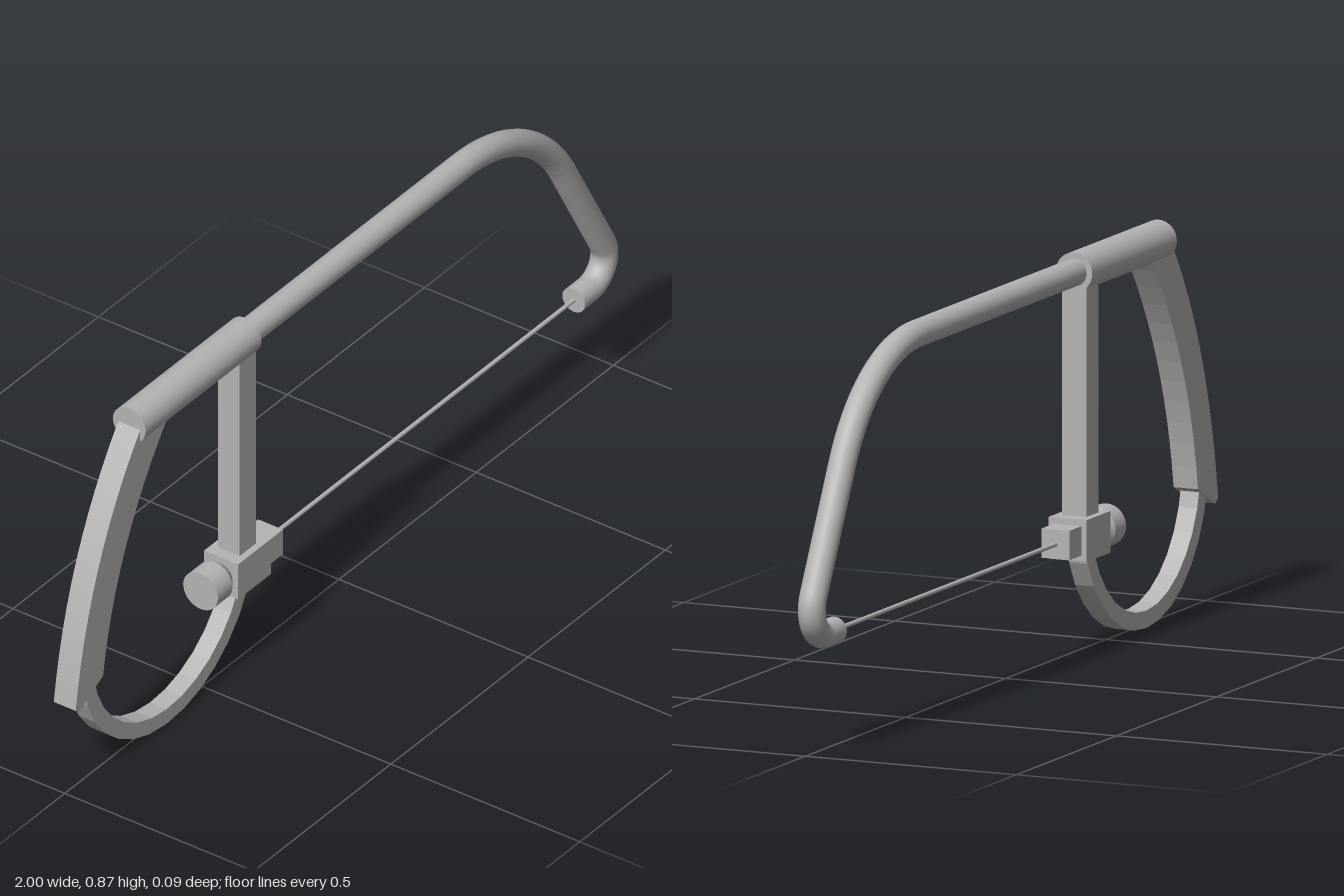
import * as THREE from 'three';

const steel = new THREE.MeshStandardMaterial({ color: 0xb4b4b4 });
steel.name = 'grey steel';

export function createModel() {
  const model = new THREE.Group();
  model.name = 'hacksaw';

  const add = (name, geometry, x = 0, y = 0, z = 0) => {
    const mesh = new THREE.Mesh(geometry, steel);
    mesh.name = name;
    mesh.position.set(x, y, z);
    model.add(mesh);
    return mesh;
  };
  // Box from its x and y limits, centred on z
  const box = (name, x0, x1, y0, y1, depth) =>
    add(name, new THREE.BoxGeometry(x1 - x0, y1 - y0, depth), (x0 + x1) / 2, (y0 + y1) / 2);
  // Cylinder along x
  const rod = (name, x0, x1, y, r0, r1 = r0, sides = 32) =>
    add(name, new THREE.CylinderGeometry(r1, r0, x1 - x0, sides).rotateZ(-Math.PI / 2), (x0 + x1) / 2, y);
  // Flat outline given thickness, centred on z
  const plate = (name, shape, depth, curveSegments) =>
    add(name, new THREE.ExtrudeGeometry(shape, { depth, bevelEnabled: false, curveSegments })
      .translate(0, 0, -depth / 2));

  const topY = 0.827, bladeY = 0.25, tubeR = 0.03;

  // Bent tubular frame: straight top, wide bend, slanted front, tight hook
  const path = [new THREE.Vector3(-0.5, topY, 0)];
  const bend = (cx, cy, r, from, to, steps) => {
    for (let i = 0; i <= steps; i++) {
      const a = THREE.MathUtils.degToRad(from + (to - from) * i / steps);
      path.push(new THREE.Vector3(cx + r * Math.cos(a), cy + r * Math.sin(a), 0));
    }
  };
  bend(0.445, topY - 0.42, 0.42, 90, 28.7, 16);
  bend(0.905, bladeY + 0.062, 0.062, 28.7, -90, 12);
  path.push(new THREE.Vector3(0.855, bladeY, 0));
  const curve = new THREE.CurvePath();
  for (let i = 1; i < path.length; i++) curve.add(new THREE.LineCurve3(path[i - 1], path[i]));
  add('frameTube', new THREE.TubeGeometry(curve, 200, tubeR, 24));
  const cap = add('frameTubeEnd', new THREE.CircleGeometry(tubeR, 24), 0.855, bladeY);
  cap.rotation.y = -Math.PI / 2;

  // Sleeve holding the frame tube, and the post below it
  rod('sleeve', -0.765, -0.342, topY, 0.043);
  box('post', -0.402, -0.343, 0.25, 0.81, 0.058);

  // Blade tensioner
  box('tensionBlock', -0.43, -0.31, 0.205, 0.296, 0.09);
  box('bladeClamp', -0.31, -0.25, 0.218, 0.282, 0.066);
  rod('knobNeck', -0.452, -0.43, bladeY, 0.046, 0.03);
  rod('knob', -0.505, -0.452, bladeY, 0.046);
  rod('blade', -0.25, 0.86, bladeY, 0.005, 0.005, 12);

  // Curved grip
  const grip = new THREE.Shape();
  grip.moveTo(-0.765, 0.825);
  grip.quadraticCurveTo(-0.953, 0.572, -1.0, 0.226);
  grip.lineTo(-0.988, 0.216);
  grip.lineTo(-0.9, 0.262);
  grip.quadraticCurveTo(-0.855, 0.567, -0.655, 0.815);
  plate('grip', grip, 0.058, 12);

  // Knuckle guard bow
  const guard = new THREE.Shape();
  const a0 = THREE.MathUtils.degToRad(189), a1 = THREE.MathUtils.degToRad(348);
  guard.absarc(-0.652, 0.314, 0.314, a0, a1, false);
  guard.absarc(-0.652, 0.314, 0.276, a1, a0, true);
  plate('knuckleGuard', guard, 0.044, 7);

  return model;
}
